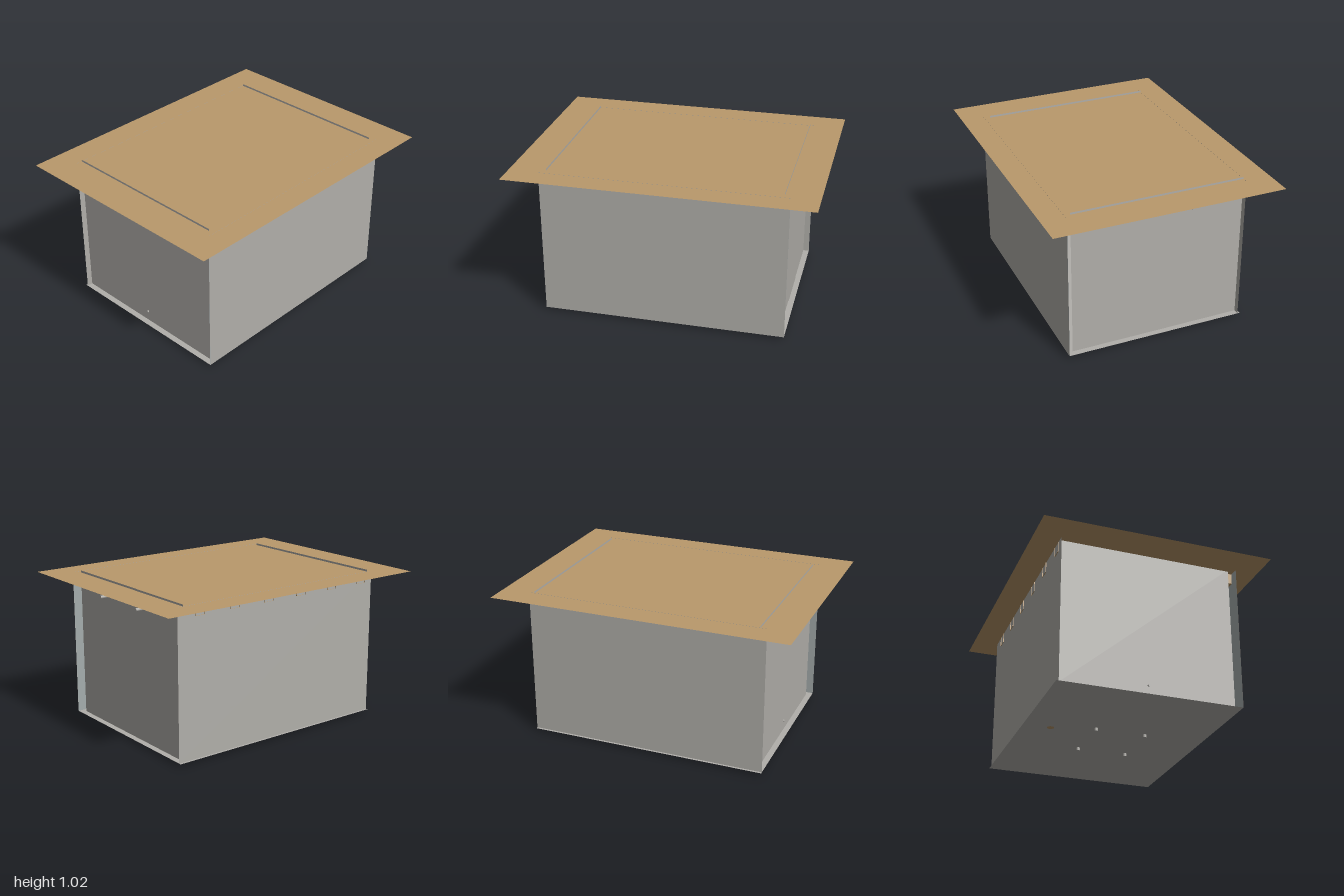
import * as THREE from 'three';

const sheet = (name, color) => {
  const m = new THREE.MeshStandardMaterial({ color, side: THREE.DoubleSide });
  m.name = name;
  return m;
};

export function createModel() {
  const group = new THREE.Group();
  const grey = sheet('grey metal', 0xb1afaa);
  const liner = sheet('cool grey lining', 0xa5adad);
  const wood = sheet('tan wood', 0xba996b);

  const add = (name, geometry, material, x, y, z) => {
    const mesh = new THREE.Mesh(geometry, material);
    mesh.name = name;
    mesh.position.set(x, y, z);
    group.add(mesh);
    return mesh;
  };
  // Flat sheets facing z, x and y, each given by its extents
  const plateZ = (name, mat, x0, x1, y0, y1, z) =>
    add(name, new THREE.PlaneGeometry(x1 - x0, y1 - y0), mat, (x0 + x1) / 2, (y0 + y1) / 2, z);
  const plateX = (name, mat, z0, z1, y0, y1, x) => {
    const mesh = add(name, new THREE.PlaneGeometry(z1 - z0, y1 - y0), mat, x, (y0 + y1) / 2, (z0 + z1) / 2);
    mesh.rotation.y = (x < 0 ? -1 : 1) * Math.PI / 2;
  };
  const plateY = (name, mat, x0, x1, z0, z1, y, up = 1) => {
    const mesh = add(name, new THREE.PlaneGeometry(x1 - x0, z1 - z0), mat, (x0 + x1) / 2, y, (z0 + z1) / 2);
    mesh.rotation.x = -up * Math.PI / 2;
  };

  const L = 0.613, R = -0.595, F = 0.80, B = -0.815;
  const panelL = 0.575, frontZ = 0.76, backZ = -0.775;

  // Thin overhanging cover
  plateY('topCover', wood, -0.77, 0.77, -1, 1, 1.012);

  // Cabinet: floor, side walls, inset front and back panels that stop short of the left wall
  plateY('floor', grey, -0.61, L, B, F, 0.02, -1);
  plateX('leftWall', grey, B, F, 0.02, 1.013, L);
  plateX('leftLining', liner, B, F, 0.02, 1.005, L - 0.002);
  plateX('rightWall', grey, B, F, 0.02, 1.013, R);
  plateZ('frontPanel', grey, R, panelL, 0.02, 1.025, frontZ);
  plateZ('backPanel', grey, R, panelL, 0.02, 1.025, backZ);

  // Open-ended hollow beams, just proud of both side walls
  for (let i = 0; i < 6; i++) {
    const z = 0.70 - i * 0.27;
    for (const s of [-1, 1]) plateZ('beamSide', wood, -0.6, 0.62, 0.94, 1.01, z + s * 0.037);
    plateY('beamBottom', wood, -0.6, 0.62, z - 0.037, z + 0.037, 0.94, -1);
  }

  // Feet and drain under the floor
  for (const x of [-0.14, 0.20]) {
    for (const z of [0.165, -0.21]) {
      add('foot', new THREE.CylinderGeometry(0.012, 0.012, 0.02, 12), grey, x, 0.01, z);
    }
  }
  const drain = add('drain', new THREE.CircleGeometry(0.024, 20), wood, -0.425, 0.018, 0.08);
  drain.rotation.x = Math.PI / 2;

  // Pegs and low sill on the back
  for (const x of [0.2, -0.21]) {
    const peg = add('backPeg', new THREE.CylinderGeometry(0.011, 0.011, 0.085, 12), grey, x, 0.925, -0.815);
    peg.rotation.x = Math.PI / 2;
  }
  plateZ('backSill', grey, -0.165, 0.175, 0.022, 0.042, backZ - 0.003);

  // Small button on the front
  const button = add('frontButton', new THREE.CylinderGeometry(0.007, 0.007, 0.01, 10), grey, -0.007, 0.093, frontZ + 0.005);
  button.rotation.x = Math.PI / 2;

  // Round port, slots and small fixings on the right wall
  const port = add('sidePort', new THREE.CircleGeometry(0.068, 32), grey, R - 0.003, 0.83, -0.03);
  port.rotation.y = -Math.PI / 2;
  for (const z of [-0.29, 0.39]) {
    plateX('sideSlot', grey, z - 0.17, z + 0.17, 0.488, 0.493, R - 0.002);
  }
  for (const [y, z] of [[0.24, -0.58], [0.23, -0.40], [0.3, -0.4], [0.26, -0.22], [0.23, -0.05], [0.24, 0.53]]) {
    plateX('sideFixing', grey, z - 0.015, z + 0.015, y - 0.004, y + 0.004, R - 0.003);
  }
  return group;
}
